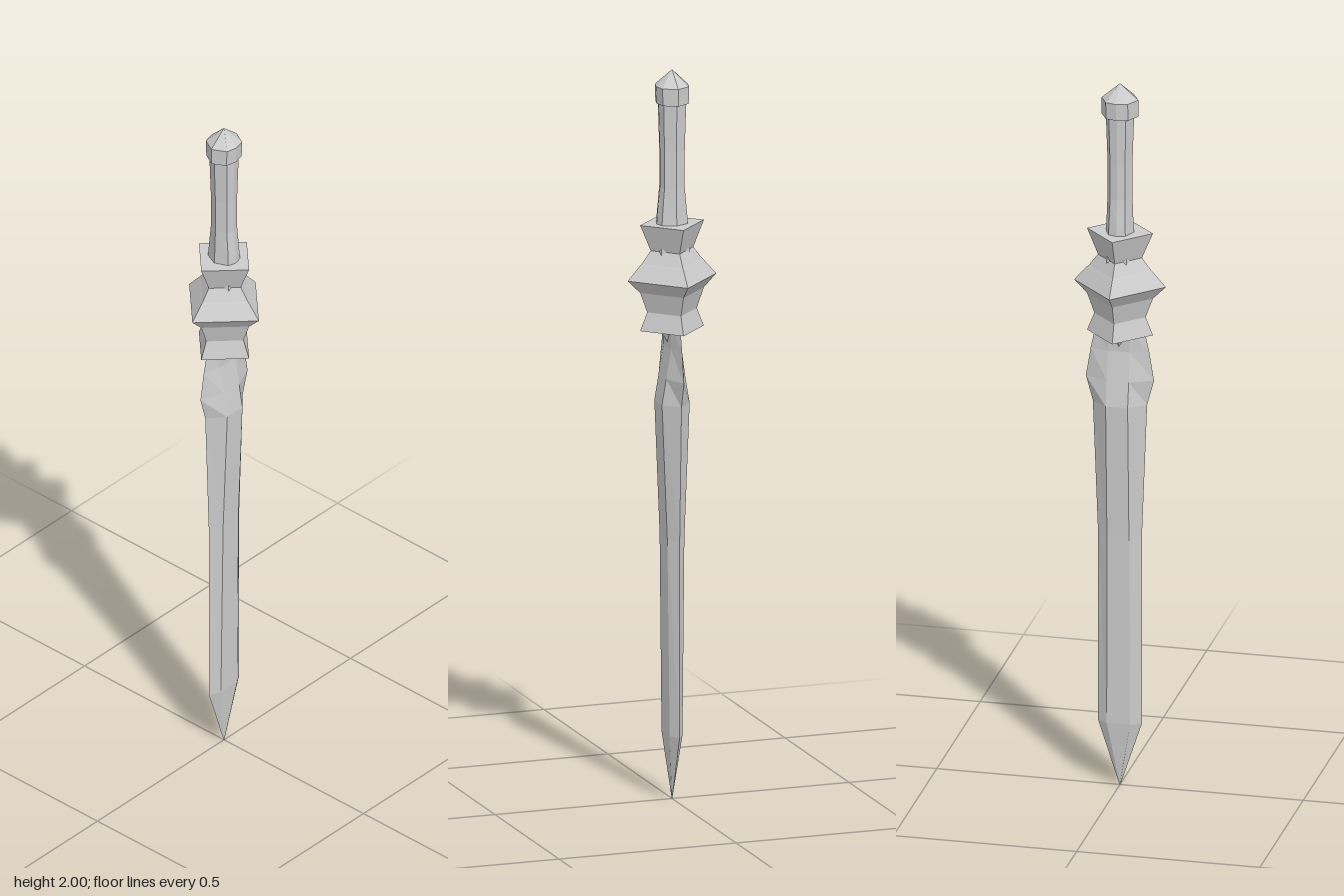
import * as THREE from 'three';

const material = new THREE.MeshStandardMaterial({ color: 0xcccccc, flatShading: true });

// Joins stacked rings of [x, z] corners (bottom to top) and caps both ends
function loft(name, rings) {
  const pos = [];
  const n = rings[0].pts.length;
  const at = (r, i) => [r.pts[i % n][0], r.y, r.pts[i % n][1]];
  const tri = (a, b, c) => pos.push(...a, ...b, ...c);
  for (let k = 0; k < rings.length - 1; k++) {
    const lo = rings[k], hi = rings[k + 1];
    for (let i = 0; i < n; i++) {
      tri(at(lo, i), at(hi, i), at(hi, i + 1));
      tri(at(lo, i), at(hi, i + 1), at(lo, i + 1));
    }
  }
  const bottom = rings[0], top = rings[rings.length - 1];
  for (let i = 0; i < n; i++) {
    tri([0, bottom.y, 0], at(bottom, i), at(bottom, i + 1));
    tri([0, top.y, 0], at(top, i + 1), at(top, i));
  }
  const geo = new THREE.BufferGeometry();
  geo.setAttribute('position', new THREE.Float32BufferAttribute(pos, 3));
  geo.computeVertexNormals();
  const mesh = new THREE.Mesh(geo, material);
  mesh.name = name;
  return mesh;
}

// Cross-sections, running from +x towards +z
const diamond = ([y, r]) => ({ y, pts: [[r, 0], [0, r], [-r, 0], [0, -r]] });
const octagon = ([y, w, d]) => {
  const a = w * 0.6, b = d * 0.84;
  return { y, pts: [[w, 0], [a, b], [0, d], [-a, b], [-w, 0], [-a, -b], [0, -d], [a, -b]] };
};
const bladeSection = ([y, w, f, t]) => ({
  y, pts: [[w, 0], [f, t], [-f, t], [-w, 0], [-f, -t], [f, -t]],
});

export function createModel() {
  const sword = new THREE.Group();
  sword.name = 'sword';

  // Blade: height, half width, half width of flat, half thickness
  sword.add(loft('blade', [
    [0, 0.001, 0.0005, 0.0005],
    [0.18, 0.06, 0.032, 0.018],
    [0.72, 0.06, 0.03, 0.024],
    [1.09, 0.074, 0.03, 0.039],
    [1.16, 0.093, 0.03, 0.027],
    [1.24, 0.08, 0.03, 0.013],
    [1.3, 0.067, 0.03, 0.013],
  ].map(bladeSection)));

  // Guard: three square blocks set corner forward
  const guard = new THREE.Group();
  guard.name = 'guard';
  guard.add(
    loft('lowerCollar', [[1.29, 0.09], [1.34, 0.07]].map(diamond)),
    loft('guardBlock', [[1.34, 0.07], [1.395, 0.09], [1.43, 0.125], [1.47, 0.09], [1.475, 0.085], [1.508, 0.06]].map(diamond)),
    loft('upperCollar', [[1.508, 0.06], [1.58, 0.09]].map(diamond)),
    loft('guardSpike', [[1.235, 0.001], [1.292, 0.036]].map(diamond)),
  );
  sword.add(guard);

  // Grip, flared where it sinks into the guard
  sword.add(loft('grip', [
    [1.49, 0.046, 0.048], [1.6, 0.037, 0.042], [1.68, 0.034, 0.034],
    [1.78, 0.034, 0.034], [1.92, 0.039, 0.038],
  ].map(octagon)));

  // Pommel with a pointed cap
  sword.add(loft('pommel', [
    [1.91, 0.05, 0.043], [1.957, 0.05, 0.045], [2, 0.0005, 0.0005],
  ].map(octagon)));

  return sword;
}
